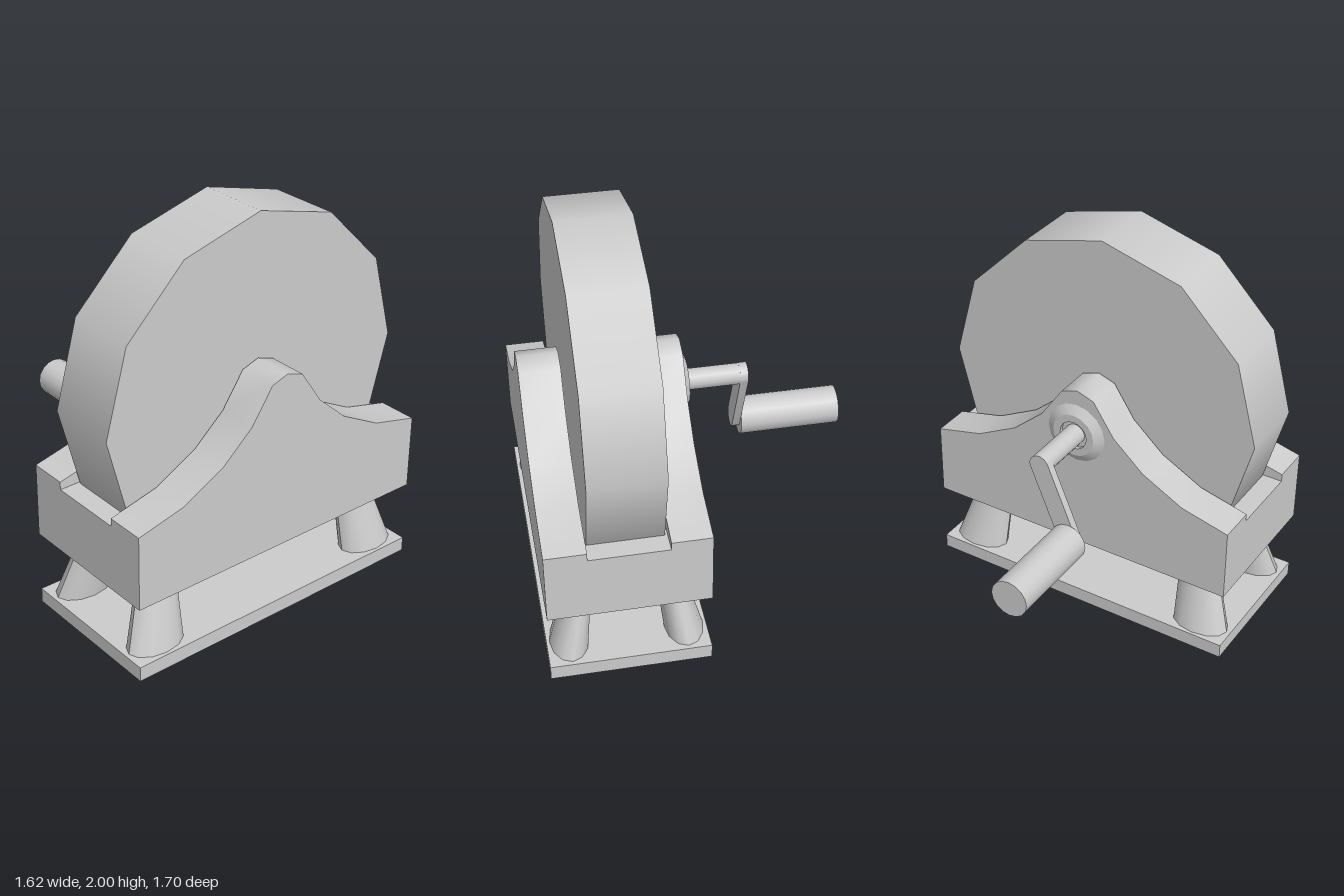
import * as THREE from 'three';
import { toCreasedNormals } from 'three/addons/utils/BufferGeometryUtils.js';

const material = new THREE.MeshStandardMaterial({ color: 0xcccccc });
const MID = 0.415; // x of the wheel and housing centre plane
const AXLE_Y = 1.05;

export function createModel() {
  const group = new THREE.Group();

  const add = (name, geometry, x = 0, y = 0, z = 0) => {
    const mesh = new THREE.Mesh(geometry, material);
    mesh.name = name;
    mesh.position.set(x, y, z);
    group.add(mesh);
    return mesh;
  };
  // Round bar lying along x
  const rod = (name, x0, x1, y, z, r, sides) =>
    add(name, new THREE.CylinderGeometry(r, r, x1 - x0, sides).rotateZ(Math.PI / 2), (x0 + x1) / 2, y, z);
  // Side outline (z, y) extruded along +x
  const slab = (shape, depth, crease) => toCreasedNormals(
    new THREE.ExtrudeGeometry(shape, { depth, bevelEnabled: false, curveSegments: 8 }).rotateY(Math.PI / 2), crease);

  // Ground plate
  add('basePlate', new THREE.BoxGeometry(0.78, 0.075, 1.68), MID, 0.0375, 0);

  // Four oval, tapered legs leaning inward toward the top
  for (const sx of [-1, 1]) {
    for (const sz of [-1, 1]) {
      const leg = new THREE.CylinderGeometry(0.69, 1, 0.315, 12);
      leg.scale(0.095, 1, 0.15);
      const p = leg.attributes.position;
      for (let i = 0; i < p.count; i++) {
        const t = p.getY(i) / 0.315 + 0.5;
        p.setX(i, p.getX(i) - sx * 0.062 * t);
        p.setZ(i, p.getZ(i) - sz * 0.055 * t);
      }
      leg.computeVertexNormals();
      add('leg', leg, MID + sx * 0.28, 0.2325, sz * 0.67);
    }
  }

  // Housing: two bell-shaped cheeks and a lower block between them
  const half = [[0.84, 0.39], [0.84, 0.77], [0.59, 0.83], [0.37, 0.945], [0.205, 1.09], [0.09, 1.26]];
  const outline = [...half, [0, 1.29], ...half.map(([z, y]) => [-z, y]).reverse()];
  const cheekShape = new THREE.Shape(outline.map(([z, y]) => new THREE.Vector2(z, y)));
  add('rightCheek', slab(cheekShape, 0.195, 0.7), 0.025);
  add('leftCheek', slab(cheekShape, 0.2, 0.7), 0.605);
  add('housingBlock', new THREE.BoxGeometry(0.385, 0.34, 1.68), 0.4125, 0.56, 0);

  // Twelve-sided stone wheel, flattened where it sinks into the housing
  const wheel = new THREE.CylinderGeometry(0.85, 0.85, 0.365, 12).rotateZ(Math.PI / 2);
  const wp = wheel.attributes.position;
  for (let i = 0; i < wp.count; i++) wp.setY(i, Math.max(wp.getY(i), -0.65));
  add('grindingWheel', wheel, MID, 1.15, 0);

  // Bearing flange with a recess around the axle
  const flangeProfile = [[0.16, -0.025], [0.115, 0.005], [0.075, 0.005], [0.075, -0.015], [0, -0.015]]
    .map(([r, h]) => new THREE.Vector2(r, h));
  const flange = new THREE.LatheGeometry(flangeProfile, 16).rotateZ(Math.PI / 2);
  add('bearingFlange', toCreasedNormals(flange, 0.5), 0, AXLE_Y, -0.005);

  // Crank: axle, slanted round-ended arm and handle
  rod('axle', -0.285, 0.03, AXLE_Y, -0.005, 0.053, 16);
  const dy = 0.385, dz = 0.162, length = Math.hypot(dy, dz);
  const armShape = new THREE.Shape();
  armShape.absarc(0, 0, 0.053, 0, Math.PI);
  armShape.absarc(0, -length, 0.053, Math.PI, 2 * Math.PI);
  const arm = add('crankArm', slab(armShape, 0.04, 0.7), -0.305, AXLE_Y, -0.005);
  arm.rotation.x = -Math.atan2(dz, dy);
  rod('handle', -0.81, -0.304, AXLE_Y - dy, -0.005 + dz, 0.097, 16);

  return group;
}
